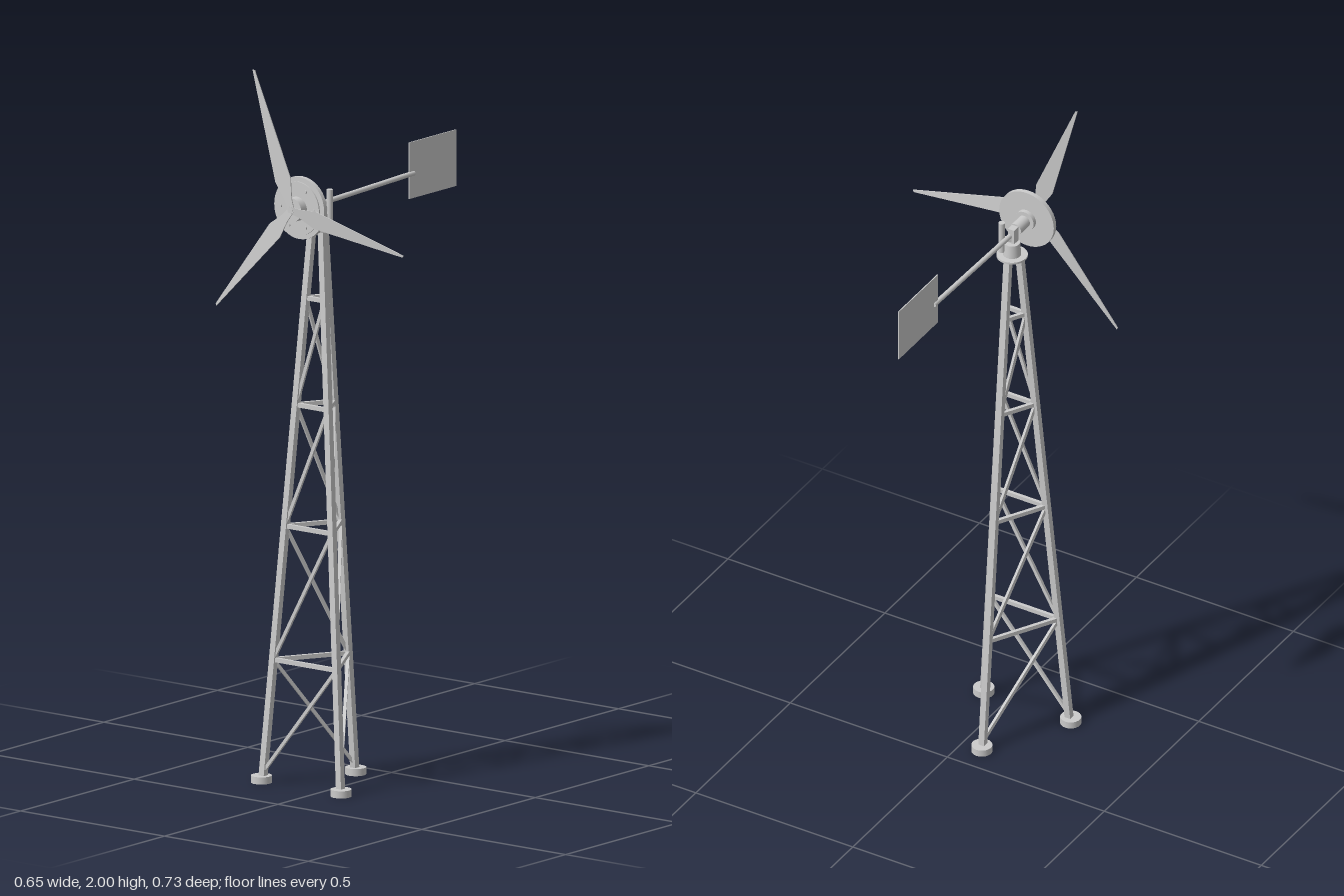
import * as THREE from 'three';

const V = (x, y, z) => new THREE.Vector3(x, y, z);
const material = new THREE.MeshStandardMaterial({ color: 0xcccccc });
const flat = new THREE.MeshStandardMaterial({ color: 0xcccccc, flatShading: true });

function add(parent, name, geometry, position, mat = material) {
  const mesh = new THREE.Mesh(geometry, mat);
  mesh.name = name;
  if (position) mesh.position.copy(position);
  parent.add(mesh);
  return mesh;
}

// Square bar running from a to b; up sets how its sides are turned
function bar(parent, name, a, b, w, h = w, up = V(0, 1, 0)) {
  const mesh = add(parent, name, new THREE.BoxGeometry(w, h, a.distanceTo(b)),
    a.clone().add(b).multiplyScalar(0.5), flat);
  mesh.up.copy(up);
  mesh.lookAt(b);
  return mesh;
}

// Disc or drum lying along z between two depths
function drum(parent, name, radius, z0, z1, x = 0, y = 0, segments = 40) {
  const geometry = new THREE.CylinderGeometry(radius, radius, z1 - z0, segments).rotateX(Math.PI / 2);
  return add(parent, name, geometry, V(x, y, (z0 + z1) / 2));
}

const CX = -0.065, CZ = 0.235, HUB_Y = 1.628;
const TOP = 1.55;

// Point at height y on a line of the tower's taper, i = 0 back, 1 left, 2 right
function legPoint(i, y, base = 0.157) {
  const r = THREE.MathUtils.lerp(base, 0.021, y / TOP);
  const a = -Math.PI / 2 + (i * Math.PI * 2) / 3;
  return V(CX + r * Math.cos(a), y, CZ + r * Math.sin(a));
}

function buildTower() {
  const tower = new THREE.Group();
  tower.name = 'tower';
  const levels = [0.03, 0.345, 0.72, 1.06, 1.36];
  for (let i = 0; i < 3; i++) {
    const j = (i + 1) % 3;
    add(tower, 'footPad', new THREE.CylinderGeometry(0.029, 0.029, 0.02, 28),
      legPoint(i, 0, 0.16).setY(0.01));
    bar(tower, 'leg', legPoint(i, 0.01), legPoint(i, TOP), 0.018, 0.018, V(0, 0, 1));

    // One rail and one diagonal per face and bay, winding the same way round
    for (let k = 1; k < levels.length; k++) {
      bar(tower, 'crossRail', legPoint(i, levels[k]), legPoint(j, levels[k]), 0.01, 0.012);
      bar(tower, 'diagonalBrace', legPoint(j, levels[k - 1]), legPoint(i, levels[k]), 0.009);
    }
  }
  return tower;
}

function buildHead() {
  const head = new THREE.Group();
  head.name = 'head';
  add(head, 'topPlate', new THREE.CylinderGeometry(0.043, 0.043, 0.006, 40), V(CX, 1.555, CZ));
  add(head, 'yawBearing', new THREE.CylinderGeometry(0.022, 0.025, 0.04, 32), V(CX, 1.577, CZ));
  add(head, 'mountBlock', new THREE.BoxGeometry(0.02, 0.05, 0.024), V(CX, 1.616, 0.241), flat);
  drum(head, 'shaftHousing', 0.018, 0.252, 0.302, CX, HUB_Y, 28);

  // Offset hinge pin that carries the tail
  add(head, 'tailHinge', new THREE.CylinderGeometry(0.009, 0.009, 0.095, 20), V(-0.043, 1.617, 0.217));
  bar(head, 'hingeArm', V(CX, 1.61, 0.232), V(-0.043, 1.61, 0.217), 0.012);
  return head;
}

function buildTail() {
  const tail = new THREE.Group();
  tail.name = 'tail';
  const a = V(CX, 1.624, 0.222), b = V(CX, 1.636, -0.18);
  const boom = add(tail, 'tailBoom',
    new THREE.CylinderGeometry(0.007, 0.007, a.distanceTo(b), 16).rotateX(Math.PI / 2),
    a.clone().add(b).multiplyScalar(0.5));
  boom.lookAt(b);
  add(tail, 'tailVane', new THREE.BoxGeometry(0.003, 0.158, 0.207), V(CX, 1.646, -0.2625), flat);
  return tail;
}

// Tapered blade along +x, pitched about its length
function bladeGeometry() {
  const outline = new THREE.Shape([
    [-0.005, -0.01], [0.03, -0.012], [0.085, -0.026], [0.395, -0.004],
    [0.398, 0.002], [0.085, 0.025], [0.03, 0.012], [-0.005, 0.01],
  ].map(([x, y]) => new THREE.Vector2(x, y)));
  const geometry = new THREE.ExtrudeGeometry(outline, { depth: 0.003, bevelEnabled: false });
  const p = geometry.attributes.position;
  for (let i = 0; i < p.count; i++) p.setZ(i, p.getZ(i) - 0.0015 + p.getY(i) * 0.1);
  geometry.computeVertexNormals();
  return geometry;
}

function buildRotor() {
  const rotor = new THREE.Group();
  rotor.name = 'rotor';
  rotor.position.set(CX, HUB_Y, 0);
  drum(rotor, 'rearCollar', 0.03, 0.299, 0.312);
  drum(rotor, 'generatorDisc', 0.087, 0.311, 0.324);
  drum(rotor, 'discSpacer', 0.06, 0.323, 0.329);
  drum(rotor, 'frontDisc', 0.075, 0.328, 0.332);
  drum(rotor, 'hub', 0.033, 0.331, 0.357);
  drum(rotor, 'hubCap', 0.008, 0.356, 0.363, 0, 0, 20);

  // Bolts around the front disc
  for (let i = 0; i < 6; i++) {
    const a = (i * Math.PI) / 3;
    drum(rotor, 'discBolt', 0.005, 0.331, 0.336, 0.058 * Math.cos(a), 0.058 * Math.sin(a), 8);
  }
  const blade = bladeGeometry();
  for (let i = 0; i < 3; i++) {
    const mesh = add(rotor, 'blade', blade, V(0, 0, 0.36), flat);
    mesh.rotation.z = THREE.MathUtils.degToRad(109.2 + i * 120);
  }
  return rotor;
}

export function createModel() {
  const model = new THREE.Group();
  model.name = 'windTurbine';
  model.add(buildTower(), buildHead(), buildTail(), buildRotor());
  return model;
}
